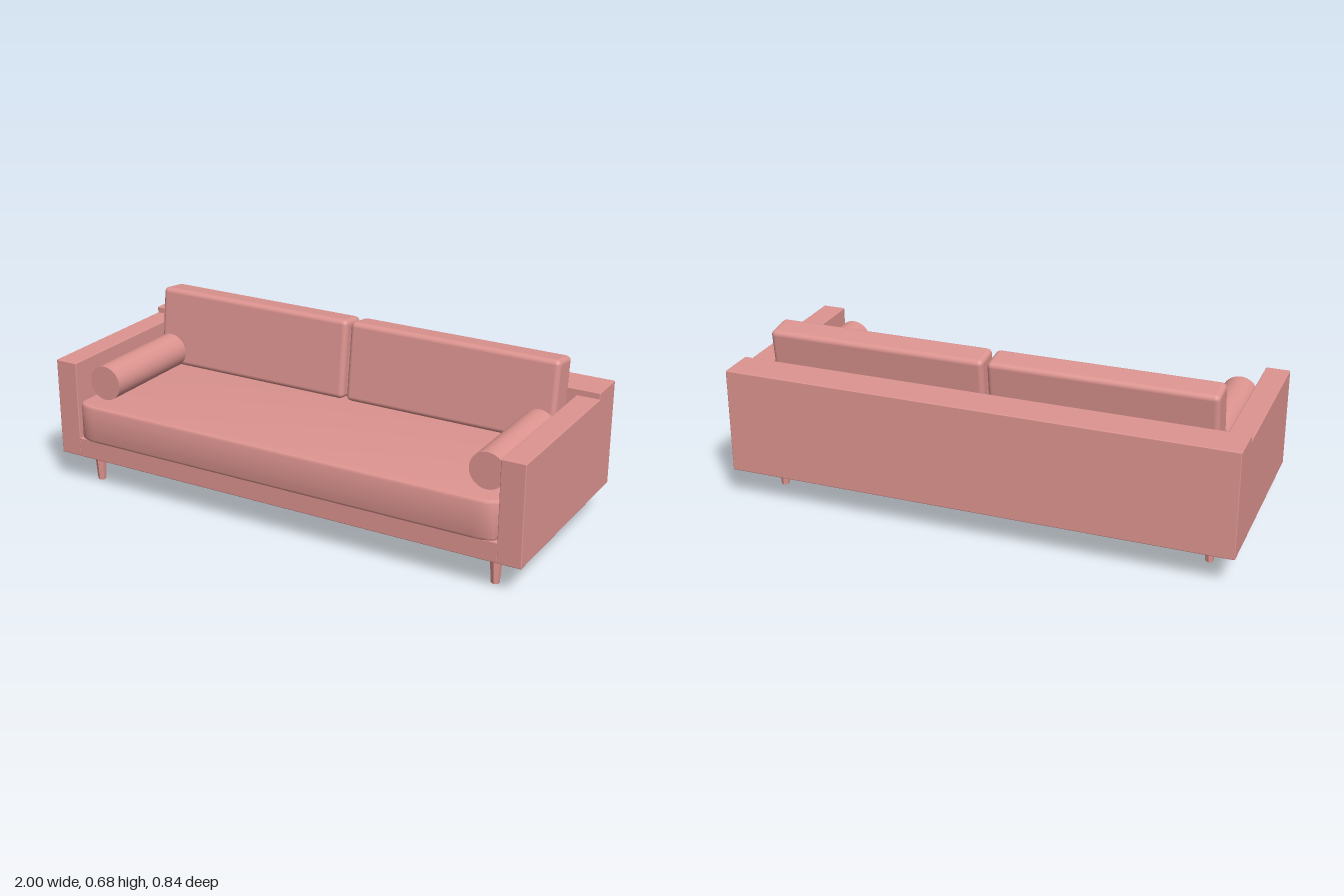
import * as THREE from 'three';
import { toCreasedNormals } from 'three/addons/utils/BufferGeometryUtils.js';
import { RoundedBoxGeometry } from 'three/addons/geometries/RoundedBoxGeometry.js';

export function createModel() {
  const sofa = new THREE.Group();
  sofa.name = 'sofa';
  const fabric = new THREE.MeshStandardMaterial({ color: 0xdd9490 });

  const add = (name, geometry, x, y, z) => {
    const mesh = new THREE.Mesh(geometry, fabric);
    mesh.name = name;
    mesh.position.set(x, y, z);
    sofa.add(mesh);
    return mesh;
  };

  // Softened box given by its minimum and maximum corners
  const block = (name, [x0, y0, z0], [x1, y1, z1], radius = 0.004) =>
    add(name, new RoundedBoxGeometry(x1 - x0, y1 - y0, z1 - z0, 2, radius),
      (x0 + x1) / 2, (y0 + y1) / 2, (z0 + z1) / 2);

  // Frame
  block('backrest', [-1, 0.12, -0.42], [1, 0.54, -0.268]);
  block('base', [-0.91, 0.12, -0.275], [0.91, 0.2, 0.405]);

  // Seat cushion: plan outline with rounded front corners, bevelled top and bottom
  const bevel = 0.01;
  const w = 0.903 - bevel, front = 0.42 - bevel, back = -0.26;
  const plan = new THREE.Shape();
  plan.moveTo(-w, -back);
  plan.lineTo(-w, -front + 0.03);
  plan.quadraticCurveTo(-w + 0.01, -front, -w + 0.08, -front);
  plan.lineTo(w - 0.08, -front);
  plan.quadraticCurveTo(w - 0.01, -front, w, -front + 0.03);
  plan.lineTo(w, -back);
  plan.closePath();
  const seat = new THREE.ExtrudeGeometry(plan, {
    depth: 0.152 - 2 * bevel, bevelSize: bevel, bevelThickness: bevel, bevelSegments: 3, curveSegments: 8,
  });
  seat.rotateX(-Math.PI / 2);
  add('seatCushion', toCreasedNormals(seat, 0.7), 0, 0.2 + bevel, 0);

  for (const [side, s] of [['left', 1], ['right', -1]]) {
    const xs = [0.906 * s, s].sort((a, b) => a - b);
    block(side + 'Arm', [xs[0], 0.12, -0.275], [xs[1], 0.515, 0.405]);

    // Back cushion leaning against the backrest
    const cushion = add(side + 'BackCushion',
      new RoundedBoxGeometry(0.872, 0.318, 0.121, 4, 0.02), 0.444 * s, 0.514, -0.196);
    cushion.rotation.x = -0.12;

    // Cylindrical bolster lying front to back
    const bolster = new THREE.CylinderGeometry(0.07, 0.07, 0.45, 40);
    bolster.rotateX(Math.PI / 2);
    add(side + 'Bolster', bolster, 0.825 * s, 0.423, 0.105);

    // Tapered six-sided legs
    for (const [end, z] of [['Front', 0.325], ['Back', -0.245]]) {
      const leg = new THREE.CylinderGeometry(0.025, 0.016, 0.125, 6).toNonIndexed();
      leg.computeVertexNormals();
      add(side + end + 'Leg', leg, 0.872 * s, 0.0625, z);
    }
  }
  return sofa;
}
